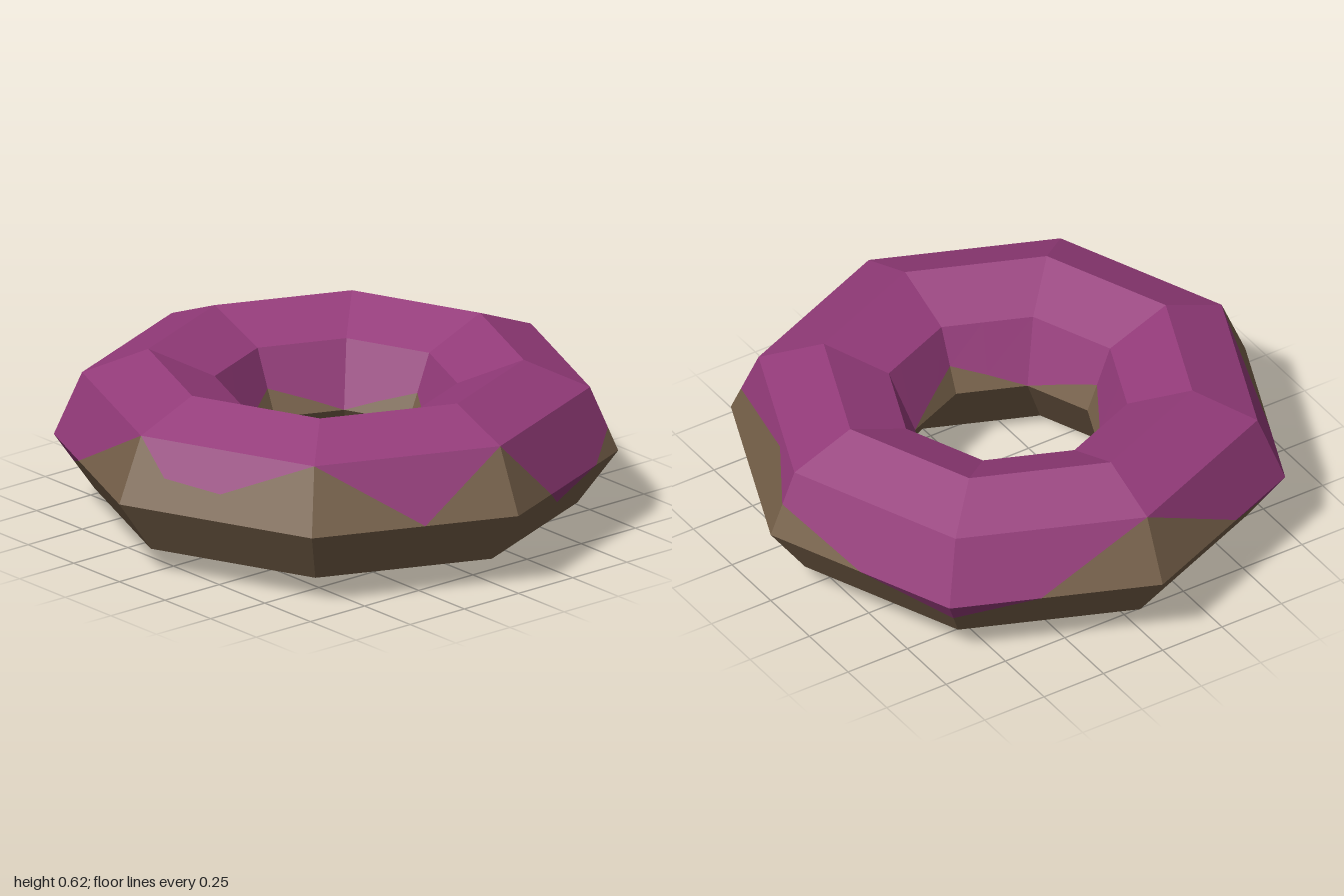
import * as THREE from 'three';

// Outer profile as [height, radius], bottom to top
const OUTER = [[0, 0.55], [0.09, 0.855], [0.29, 1], [0.525, 0.9], [0.62, 0.665]];
const WAIST = 0.29;

// Dripping edge of the icing round the outside: [corner position 0..8, height]
const DRIPS = [
  [0, 0.525], [0.33, 0.29], [0.54, 0.2], [0.78, 0.29], [1, 0.376], [1.7, 0.49], [2, 0.405],
  [2.5, 0.29], [3, 0.2], [3.43, 0.29], [4, 0.525], [4.6, 0.29], [5, 0.19], [5.38, 0.29],
  [6, 0.525], [6.19, 0.4], [6.5, 0.38], [7, 0.525], [7.55, 0.29], [8, 0.525],
];

function outerRadius(y) {
  const i = Math.max(1, OUTER.findIndex((p) => p[0] >= y - 1e-6));
  const [y0, r0] = OUTER[i - 1], [y1, r1] = OUTER[i];
  return r0 + (r1 - r0) * (y - y0) / (y1 - y0);
}

// Point on the eight-sided ring: p counts corners from the front towards +x
function ringPoint(p, r, y) {
  const k = Math.floor(p);
  const corner = (n) => new THREE.Vector3(
    r * Math.sin(n * Math.PI / 4), y, r * Math.cos(n * Math.PI / 4));
  return corner(k).lerp(corner(k + 1), p - k);
}

// Join cross-section columns into flat facets, skipping collapsed triangles
function skin(columns) {
  const positions = [];
  const tri = (a, b, c) => {
    const area = b.clone().sub(a).cross(c.clone().sub(a)).length();
    if (area > 1e-7) for (const v of [a, b, c]) positions.push(v.x, v.y, v.z);
  };
  for (let i = 0; i < columns.length - 1; i++) {
    const A = columns[i], B = columns[i + 1];
    for (let j = 0; j < A.length - 1; j++) {
      tri(A[j], B[j], B[j + 1]);
      tri(A[j], B[j + 1], A[j + 1]);
    }
  }
  const geometry = new THREE.BufferGeometry();
  geometry.setAttribute('position', new THREE.Float32BufferAttribute(positions, 3));
  geometry.computeVertexNormals();
  return geometry;
}

export function createModel() {
  const brown = new THREE.MeshStandardMaterial({ color: 0x77614a });
  brown.name = 'dough brown';
  const purple = new THREE.MeshStandardMaterial({ color: 0x943b7a });
  purple.name = 'icing purple';

  const doughColumns = [], icingColumns = [];
  for (const [p, y] of DRIPS) {
    const at = (r, h) => ringPoint(p, r, h);
    // Icing edge inside the hole: low at odd corners, higher at even ones
    const wave = Math.abs((p % 2) - 1);
    const innerEdge = at(0.335 + 0.04 * wave, WAIST + 0.097 * wave);
    const edge = at(outerRadius(y), y);
    const low = Math.min(y, WAIST), high = Math.max(y, WAIST);
    doughColumns.push([
      innerEdge, at(0.335, WAIST), at(0.55, 0), at(0.855, 0.09), at(outerRadius(low), low), edge,
    ]);
    icingColumns.push([
      edge, at(outerRadius(high), high), at(0.9, 0.525), at(0.665, 0.62), at(0.43, 0.525), innerEdge,
    ]);
  }

  const group = new THREE.Group();
  group.name = 'donut';
  const dough = new THREE.Mesh(skin(doughColumns), brown);
  dough.name = 'dough';
  const icing = new THREE.Mesh(skin(icingColumns), purple);
  icing.name = 'icing';
  group.add(dough, icing);
  return group;
}
